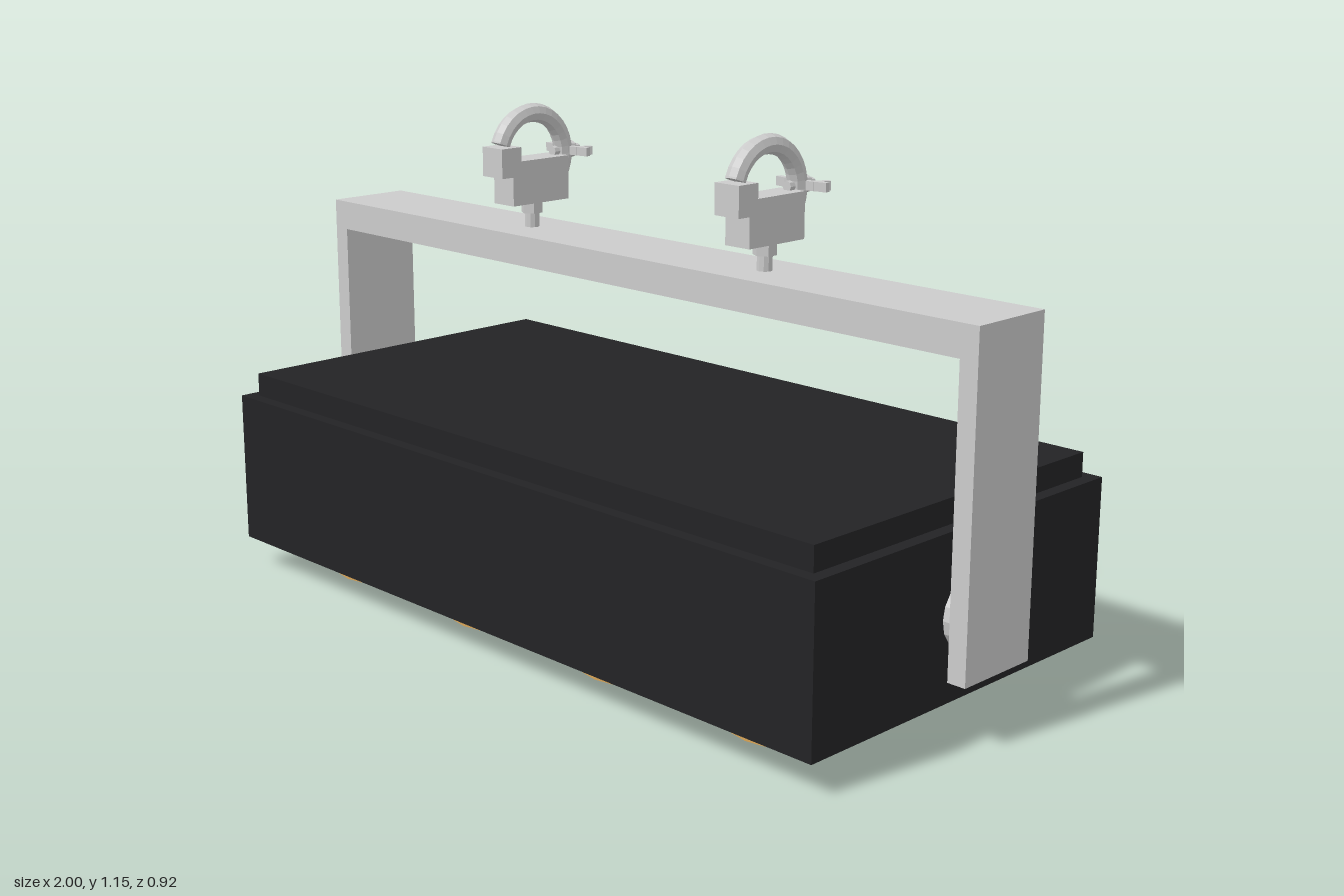
import * as THREE from 'three';

const mat = (color) => new THREE.MeshStandardMaterial({ color, flatShading: true });
const grey = mat(0xcccccc);
const black = mat(0x232325);
const silver = mat(0xeef0f2);
const gold = mat(0xd8a456);

function add(parent, name, geometry, material, x = 0, y = 0, z = 0) {
  const mesh = new THREE.Mesh(geometry, material);
  mesh.name = name;
  mesh.position.set(x, y, z);
  parent.add(mesh);
  return mesh;
}

// Box given by its minimum and maximum corners
function block(parent, name, material, [x0, y0, z0], [x1, y1, z1]) {
  return add(parent, name, new THREE.BoxGeometry(x1 - x0, y1 - y0, z1 - z0), material,
    (x0 + x1) / 2, (y0 + y1) / 2, (z0 + z1) / 2);
}

const lathe = (points, sides) =>
  new THREE.LatheGeometry(points.map(([r, y]) => new THREE.Vector2(r, y)), sides);

function rectangle(path, hx, hz) {
  path.moveTo(-hx, -hz);
  path.lineTo(hx, -hz);
  path.lineTo(hx, hz);
  path.lineTo(-hx, hz);
  path.closePath();
  return path;
}

// Open-bottomed casing with a stepped lid
function makeHousing() {
  const housing = new THREE.Group();
  housing.name = 'housing';
  const outline = rectangle(new THREE.Shape(), 0.92, 0.46);
  outline.holes.push(rectangle(new THREE.Path(), 0.89, 0.43));
  const walls = new THREE.ExtrudeGeometry(outline, { depth: 0.34, bevelEnabled: false });
  walls.rotateX(-Math.PI / 2);
  add(housing, 'housingWalls', walls, black, 0, 0.07, 0);
  block(housing, 'housingTop', black, [-0.92, 0.41, -0.46], [0.92, 0.43, 0.46]);
  block(housing, 'lid', black, [-0.89, 0.43, -0.43], [0.89, 0.485, 0.43]);
  return housing;
}

// Lamp: can, mounting ring, ridged lens and three retaining lugs
function makeLamp() {
  const lamp = new THREE.Group();
  lamp.name = 'lamp';
  add(lamp, 'can', lathe([[0.203, 0.085], [0.208, 0.3], [0.1, 0.4], [0, 0.4]], 24), silver);
  add(lamp, 'mountingRing', lathe([[0.13, 0.076], [0.205, 0.076], [0.205, 0.086], [0.13, 0.086]], 24), grey);

  // Concentric ridges from the centre out, then the stepped rim
  const profile = [[0, 0.004], [0.02, 0.004]];
  for (let r = 0.02; r < 0.11; r += 0.023) {
    profile.push([r, 0.018], [r + 0.009, 0.018], [r + 0.011, 0.002], [r + 0.023, 0.002]);
  }
  profile.push([0.112, 0.018], [0.12, 0.018], [0.12, 0], [0.135, 0], [0.135, 0.022],
    [0.105, 0.027], [0.11, 0.03], [0.148, 0.04], [0.15, 0.08], [0.13, 0.08]);
  add(lamp, 'lens', lathe(profile, 18), gold);

  for (let i = 0; i < 3; i++) {
    const angle = Math.PI + i * Math.PI * 2 / 3;
    add(lamp, 'lug', new THREE.CylinderGeometry(0.021, 0.021, 0.035, 8), grey,
      0.18 * Math.sin(angle), 0.0625, 0.18 * Math.cos(angle));
  }
  return lamp;
}

// Inverted U bracket with side pivots
function makeYoke() {
  const yoke = new THREE.Group();
  yoke.name = 'yoke';
  const shape = new THREE.Shape();
  [[-1, 0.14], [-0.957, 0.14], [-0.957, 0.79], [0.957, 0.79], [0.957, 0.14], [1, 0.14], [1, 0.86], [-1, 0.86]]
    .forEach(([x, y], i) => (i ? shape.lineTo(x, y) : shape.moveTo(x, y)));
  add(yoke, 'bracket', new THREE.ExtrudeGeometry(shape, { depth: 0.206, bevelEnabled: false }), grey, 0, 0, -0.103);
  for (const side of [-1, 1]) {
    const pivot = new THREE.CylinderGeometry(0.075, 0.075, 0.05, 16).rotateZ(Math.PI / 2);
    add(yoke, 'pivot', pivot, grey, side * 0.94, 0.25, 0);
  }
  return yoke;
}

// Hook clamp: bolt, jaw, curved hook and wing nut
function makeClamp() {
  const clamp = new THREE.Group();
  clamp.name = 'clamp';
  add(clamp, 'bolt', new THREE.CylinderGeometry(0.017, 0.017, 0.07, 10), grey, 0, 0.89, 0);
  add(clamp, 'boltNut', new THREE.CylinderGeometry(0.026, 0.026, 0.027, 6), grey, 0, 0.907, 0);

  // Jaw side profile, drawn in z and y
  const jaw = new THREE.Shape();
  [[-0.085, 0.92], [0.085, 0.92], [0.085, 0.987], [0.118, 0.987], [0.118, 1.055], [0.06, 1.055], [0.06, 1.022], [-0.085, 1.022]]
    .forEach(([z, y], i) => (i ? jaw.lineTo(z, y) : jaw.moveTo(z, y)));
  const jawGeometry = new THREE.ExtrudeGeometry(jaw, { depth: 0.068, bevelEnabled: false });
  jawGeometry.rotateY(-Math.PI / 2);
  add(clamp, 'jaw', jawGeometry, grey, 0.034, 0, 0);

  // Hook arc from the jaw tip over the top and down behind
  const arc = THREE.MathUtils.degToRad(195);
  const hook = new THREE.TorusGeometry(0.098, 0.022, 8, 18, arc);
  hook.rotateZ(THREE.MathUtils.degToRad(20));
  hook.rotateY(-Math.PI / 2);
  add(clamp, 'hook', hook, grey, 0, 1.028, 0);
  for (const degrees of [20, 215]) {
    const a = THREE.MathUtils.degToRad(degrees);
    const cap = new THREE.CylinderGeometry(0.022, 0.022, 0.004, 8);
    const end = add(clamp, 'hookEnd', cap, grey, 0, 1.028 + 0.098 * Math.sin(a), 0.098 * Math.cos(a));
    end.rotation.x = -a;
  }
  // Tapered tail joining the hook to the jaw
  const tail = add(clamp, 'hookTail', new THREE.CylinderGeometry(0.022, 0.012, 0.06, 8), grey, 0, 0.947, -0.072);
  tail.rotation.x = -0.6;

  const screw = new THREE.CylinderGeometry(0.012, 0.012, 0.08, 8).rotateX(Math.PI / 2);
  add(clamp, 'screw', screw, grey, 0, 1.03, -0.105);
  const hub = new THREE.CylinderGeometry(0.02, 0.02, 0.025, 8).rotateX(Math.PI / 2);
  add(clamp, 'wingNutHub', hub, grey, 0, 1.03, -0.115);
  for (const side of [-1, 1]) {
    const wing = add(clamp, 'wing', new THREE.BoxGeometry(0.055, 0.02, 0.014), grey, side * 0.042, 1.03, -0.112);
    wing.rotation.y = side * 0.15;
    const tip = add(clamp, 'wingTip', new THREE.BoxGeometry(0.014, 0.02, 0.04), grey, side * 0.043, 1.03, -0.125);
    tip.rotation.y = -side * 0.45;
  }
  return clamp;
}

export function createModel() {
  const model = new THREE.Group();
  model.name = 'stageBlinderLight';
  model.add(makeHousing(), makeYoke());

  // Two rows of four lamps
  for (const z of [-0.22, 0.22]) {
    for (let i = 0; i < 4; i++) {
      const lamp = makeLamp();
      lamp.position.set((i - 1.5) * 0.438, 0, z);
      model.add(lamp);
    }
  }
  for (const x of [-0.368, 0.368]) {
    const clamp = makeClamp();
    clamp.position.x = x;
    model.add(clamp);
  }
  return model;
}
